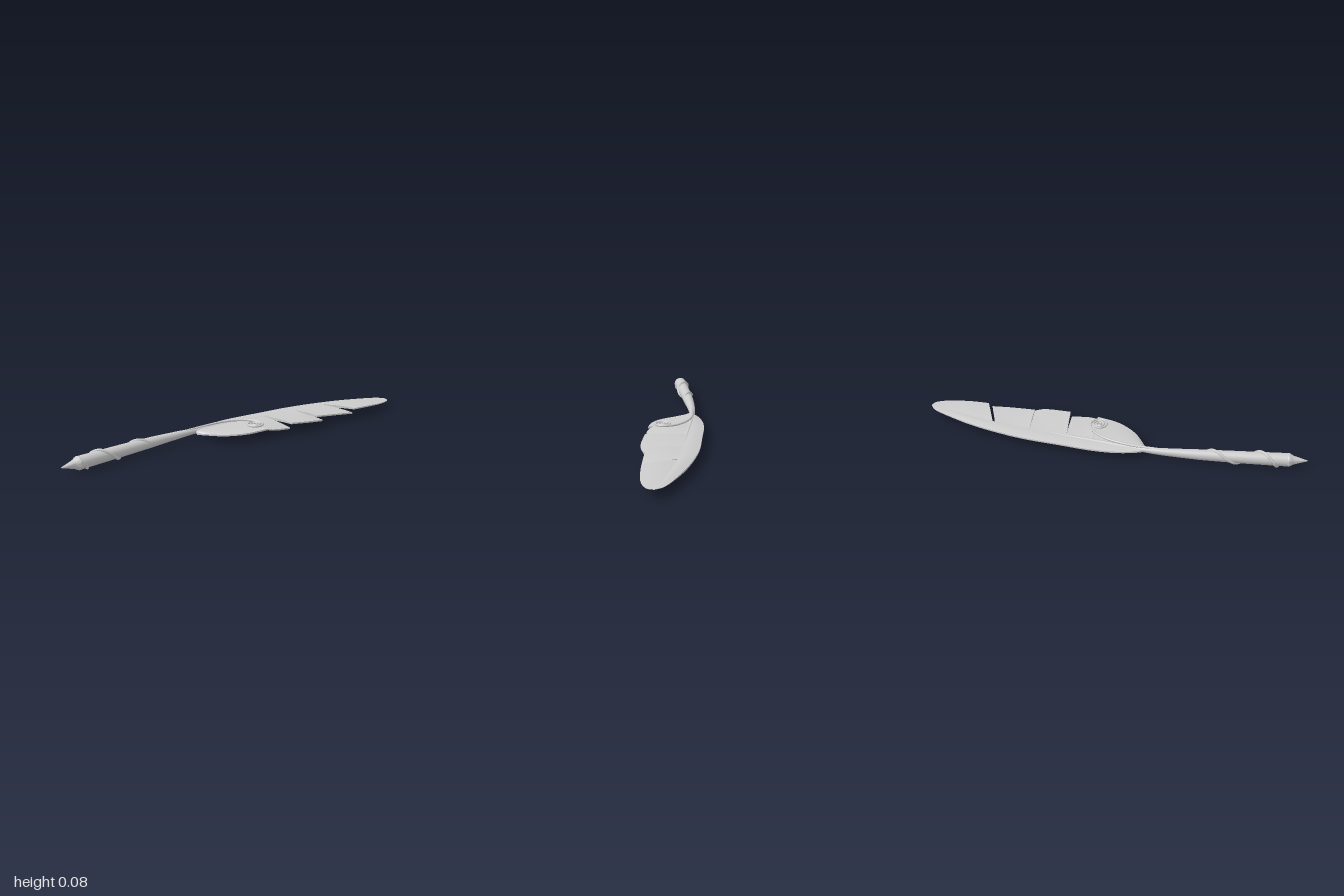
import * as THREE from 'three';
import { toCreasedNormals } from 'three/addons/utils/BufferGeometryUtils.js';

const MID = 0.046; // height of the quill's axis
const mat = new THREE.MeshStandardMaterial({ color: 0xcccccc, side: THREE.DoubleSide });
const V = (x, y, z) => new THREE.Vector3(x, y, z);
const { lerp, smoothstep } = THREE.MathUtils;

function add(group, name, geometry) {
  const mesh = new THREE.Mesh(geometry, mat);
  mesh.name = name;
  group.add(mesh);
  return mesh;
}

// Piecewise linear lookup in a table of [key, value] with rising keys
function lookup(table, k) {
  let i = 1;
  while (i < table.length - 1 && k > table[i][0]) i++;
  const [[a, va], [b, vb]] = [table[i - 1], table[i]];
  return lerp(va, vb, THREE.MathUtils.clamp((k - a) / (b - a), 0, 1));
}

// Tube whose radius follows radius(t), t = 0..1 along the curve
function taperTube(points, radius, segments, sides = 12) {
  const curve = new THREE.CatmullRomCurve3(points);
  const geo = new THREE.TubeGeometry(curve, segments, 1, sides);
  const pos = geo.attributes.position, v = V(0, 0, 0);
  for (let i = 0; i <= segments; i++) {
    const c = curve.getPointAt(i / segments), r = radius(i / segments);
    for (let j = 0; j <= sides; j++) {
      const n = i * (sides + 1) + j;
      v.fromBufferAttribute(pos, n).sub(c).multiplyScalar(r).add(c);
      pos.setXYZ(n, v.x, v.y, v.z);
    }
  }
  return geo;
}

// Inward clockwise spiral in the horizontal plane, entered at its far (-z) side
function spiral(cx, y, cz, r0, r1, turns) {
  const pts = [], n = Math.round(turns * 12);
  for (let i = 0; i <= n; i++) {
    const a = -Math.PI / 2 + (i / n) * turns * Math.PI * 2, r = lerp(r0, r1, i / n);
    pts.push(V(cx + r * Math.cos(a), y, cz + r * Math.sin(a)));
  }
  return pts;
}

// Centre line of the feather: z -> x
const SPINE = [[-1, 0.16], [-0.88, 0.105], [-0.75, 0.057], [-0.63, 0.02], [-0.43, -0.025],
  [-0.23, -0.07], [-0.09, -0.1], [0.05, -0.13], [0.19, -0.15]];

// Thin vane slab between the spine (z0..z1) and an outer edge;
// its rim is lifted from liftA to liftB along the piece
function vane(z0, z1, outline, liftA, liftB, rows = 20, cols = 6) {
  const edge = new THREE.CatmullRomCurve3(outline.map(([x, z]) => V(x, 0, z)));
  const pos = [], idx = [], ring = 2 * (cols + 1);
  for (let i = 0; i <= rows; i++) {
    const t = i / rows, z = lerp(z0, z1, t), e = edge.getPoint(t), s = V(lookup(SPINE, z), 0, z);
    for (let k = 0; k < ring; k++) {
      const top = k <= cols, u = (top ? k : ring - 1 - k) / cols;
      const p = s.clone().lerp(e, u);
      const thin = smoothstep(p.z, -1.02, -0.75);
      const half = lerp(0.009, 0.004, u) * lerp(0.25, 1, thin);
      const y = MID + lerp(liftA, liftB, t) * u * thin + 0.004 * Math.sin(u * Math.PI) * thin;
      pos.push(p.x, y + (top ? half : -half), p.z);
    }
  }
  for (let i = 0; i < rows; i++) {
    for (let k = 0; k < ring; k++) {
      const a = i * ring + k, b = i * ring + (k + 1) % ring;
      idx.push(a, a + ring, b, b, a + ring, b + ring);
    }
  }
  const last = rows * ring;
  for (let k = 1; k < ring - 1; k++) idx.push(0, k, k + 1, last, last + k + 1, last + k);
  const geo = new THREE.BufferGeometry();
  geo.setAttribute('position', new THREE.Float32BufferAttribute(pos, 3));
  geo.setIndex(idx);
  return toCreasedNormals(geo, 0.6);
}

export function createModel() {
  const group = new THREE.Group();

  // Handle: thick at the nib, thinning into the feather
  const SHAFT = [[0, 0.034], [0.3, 0.031], [0.55, 0.027], [0.78, 0.019], [0.92, 0.013], [1, 0.009]];
  add(group, 'shaft', taperTube([V(-0.17, MID, 0.905), V(-0.17, MID, 0.65), V(-0.166, MID, 0.4),
    V(-0.157, MID, 0.23), V(-0.14, MID, 0.1)], t => lookup(SHAFT, t), 40, 24));

  // Pointed nib with a small shoulder
  const profile = [[0, -0.02], [0.034, -0.005], [0.035, 0.002], [0.031, 0.012], [0.023, 0.024],
    [0.02, 0.034], [0.011, 0.065], [0.004, 0.09], [0, 0.098]].map(p => new THREE.Vector2(...p));
  const nib = add(group, 'nib', toCreasedNormals(new THREE.LatheGeometry(profile, 28), 0.5));
  nib.rotation.x = Math.PI / 2;
  nib.position.set(-0.17, MID, 0.902);

  // Vine wound around the handle: half turns -> z
  const WIND = [[0, 0.475], [1, 0.6], [2, 0.725], [3, 0.83], [4, 0.88]];
  const coil = [];
  for (let i = 0; i <= 64; i++) {
    const h = i / 16, a = h * Math.PI, z = lookup(WIND, h);
    const r = lerp(0.028, 0.036, (z - 0.475) / 0.405);
    coil.push(V(-0.17 + r * Math.cos(a), MID + r * Math.sin(a), z));
  }
  add(group, 'handleVine', taperTube(coil, t => 0.0075 * Math.min(1, 0.15 + 8 * t, 0.15 + 8 * (1 - t)), 140, 8));

  // Central quill ending in a small curl near the feather tip
  const quill = [0.19, 0.05, -0.09, -0.23, -0.43, -0.63].map(z => V(lookup(SPINE, z), MID, z));
  quill.push(V(0.05, MID + 0.001, -0.735), V(0.085, MID + 0.002, -0.805), V(0.12, MID + 0.002, -0.838),
    ...spiral(0.153, MID + 0.002, -0.818, 0.026, 0.006, 1.75));
  add(group, 'quillWithTipCurl', taperTube(quill, t => lerp(0.0145, 0.007, Math.min(1, t * 1.3)), 150, 10));

  // Side tendril lying on the vane and rolling into a larger curl
  const tendril = [V(-0.158, 0.058, 0.26), V(-0.143, 0.062, 0.12), V(-0.122, 0.066, 0.03), V(-0.085, 0.068, -0.045),
    V(-0.03, 0.068, -0.098), ...spiral(0.03, 0.068, -0.068, 0.046, 0.007, 2.6)];
  add(group, 'sideTendril', taperTube(tendril, t => lerp(0.0065, 0.0045, t), 160, 8));

  // Unbroken narrow vane on the left of the top outline
  add(group, 'narrowVane', vane(0.19, -1, [[-0.15, 0.2], [-0.17, 0.15], [-0.185, 0.05], [-0.18, -0.07],
    [-0.145, -0.26], [-0.1, -0.48], [-0.025, -0.7], [0.045, -0.85], [0.12, -0.975], [0.16, -1]], -0.004, 0, 40));

  // Wide vane, split into overlapping barb groups from tip to base
  const barbs = [
    [-1, -0.635, [[0.16, -1], [0.19, -0.985], [0.21, -0.915], [0.205, -0.8], [0.19, -0.69]], 0, 0.009],
    [-0.622, -0.43, [[0.192, -0.672], [0.172, -0.56], [0.145, -0.43]], -0.011, 0.011],
    [-0.43, -0.23, [[0.163, -0.455], [0.172, -0.385], [0.14, -0.235]], -0.013, 0.013],
    [-0.23, -0.09, [[0.136, -0.228], [0.112, -0.11], [0.07, -0.075]], -0.013, 0.012],
    [-0.09, 0.19, [[0.112, -0.085], [0.075, 0.03], [0, 0.12], [-0.13, 0.192]], 0.008, -0.012],
  ];
  barbs.forEach((b, i) => add(group, `wideVaneBarb${i + 1}`, vane(...b)));

  return group;
}
